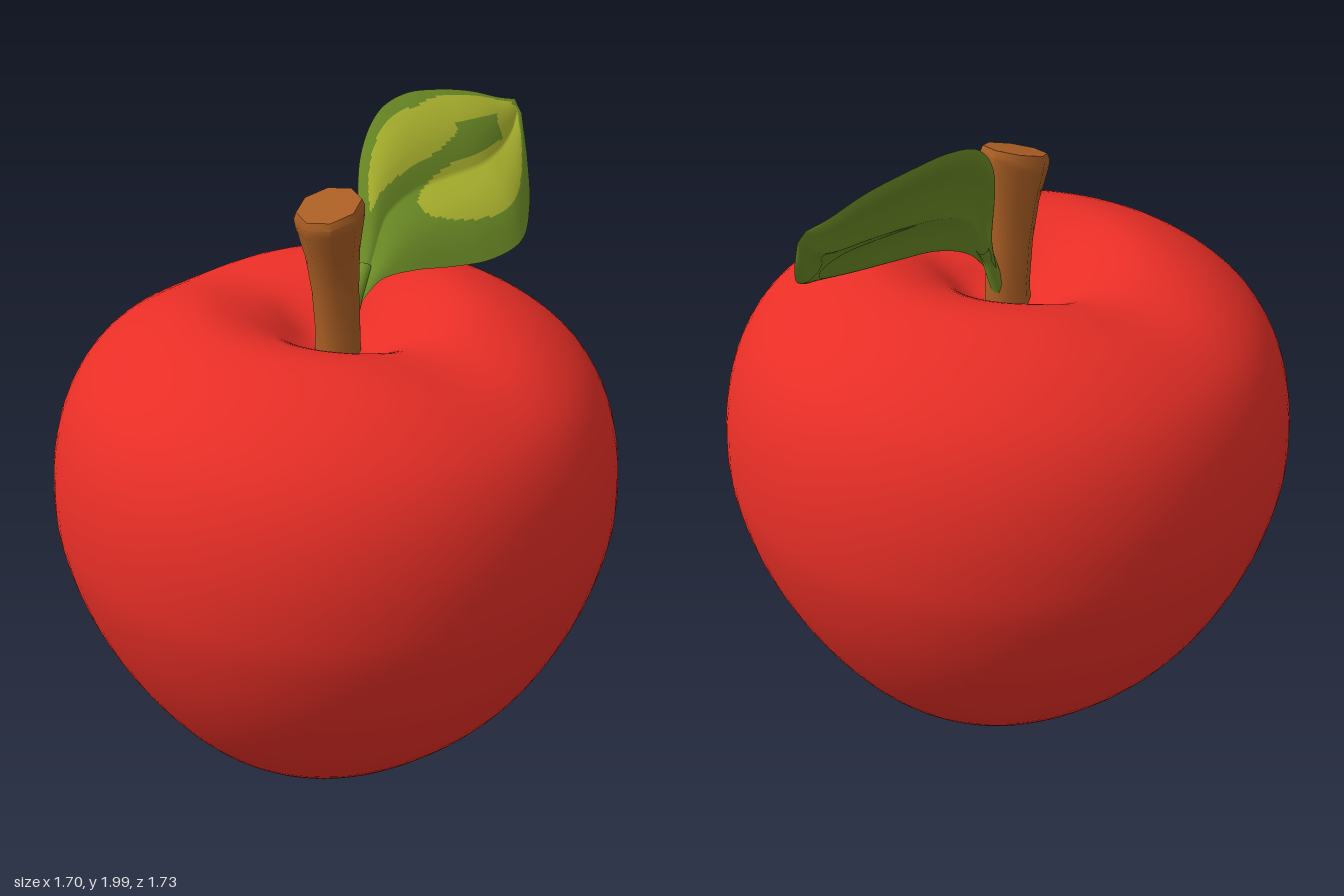
import * as THREE from 'three';
import { mergeVertices, toCreasedNormals } from 'three/addons/utils/BufferGeometryUtils.js';

const mat = (name, color) => {
  const m = new THREE.MeshStandardMaterial({ color });
  m.name = name;
  return m;
};

// Move every vertex of a geometry by a rule
function deform(geometry, rule) {
  const p = geometry.attributes.position;
  const v = new THREE.Vector3();
  for (let i = 0; i < p.count; i++) {
    rule(v.fromBufferAttribute(p, i));
    p.setXYZ(i, v.x, v.y, v.z);
  }
  return geometry;
}

function spline(points) {
  return new THREE.CatmullRomCurve3(points.map((p) => new THREE.Vector3(...p)));
}

const bell = (x, centre, width) => Math.exp(-(((x - centre) / width) ** 2));

// Turned fruit with a pit at both ends; a shallow groove runs sideways across each rim
function fruitGeometry() {
  const profile = [
    [0, 0.06], [0.08, 0.045], [0.16, 0.018], [0.25, 0.003], [0.36, 0.025], [0.475, 0.1], [0.595, 0.23],
    [0.715, 0.42], [0.805, 0.62], [0.855, 0.81], [0.864, 0.95], [0.848, 1.1], [0.802, 1.24], [0.72, 1.355],
    [0.58, 1.455], [0.42, 1.512], [0.3, 1.505], [0.2, 1.465], [0.1, 1.395], [0, 1.36],
  ].map(([x, y]) => new THREE.Vector2(x, y));
  const points = new THREE.SplineCurve(profile).getPoints(76);
  points[0].x = points[76].x = 0;
  let g = new THREE.LatheGeometry(points, 80);
  deform(g, (v) => {
    const r = Math.hypot(v.x, v.z);
    // the foot is a little narrower sideways
    v.x *= 0.985 - 0.07 * bell(v.y, 0.08, 0.17);
    if (v.y > 0.9) {
      v.y -= 0.052 * bell(v.z, 0, 0.2) * bell(r, 0.38, 0.26);
      v.y -= 0.03 * bell(v.z, -0.03, 0.08) * bell(r, 0.15, 0.12);
    } else v.y += 0.05 * bell(v.z, 0, 0.13) * bell(r, 0.29, 0.18);
  });
  g.deleteAttribute('uv');
  g.deleteAttribute('normal');
  g = mergeVertices(g, 1e-4);
  g.computeVertexNormals();
  return g;
}

// Eight-sided stem, flared, leaning forward, with a slanted cut
function stemGeometry() {
  const profile = [
    [0, 1.3], [0.07, 1.3], [0.066, 1.42], [0.068, 1.55], [0.078, 1.67], [0.098, 1.77],
    [0.1, 1.795], [0.092, 1.815], [0, 1.818],
  ].map(([x, y]) => new THREE.Vector2(x, y));
  const g = deform(new THREE.LatheGeometry(profile, 8), (v) => {
    const t = THREE.MathUtils.clamp((v.y - 1.45) / 0.36, 0, 1);
    v.y -= v.z * 0.28 * t;
    v.z += -0.005 + 0.037 * t;
  });
  g.deleteAttribute('uv');
  return toCreasedNormals(g, 0.9);
}

// Tilted leaf blade lofted between two edge curves; group 1 is the pale patches
function leafGeometry() {
  // z, upper edge x y, lower edge x y
  const stations = [
    [-0.08, -0.015, 1.49, 0.015, 1.48], [-0.14, -0.04, 1.62, 0.05, 1.55],
    [-0.22, -0.11, 1.86, 0.105, 1.57], [-0.33, -0.14, 1.965, 0.165, 1.565],
    [-0.45, -0.14, 1.995, 0.215, 1.565], [-0.58, -0.115, 1.985, 0.228, 1.59],
    [-0.7, -0.08, 1.96, 0.165, 1.65], [-0.8, -0.05, 1.925, 0.075, 1.755],
    [-0.86, -0.03, 1.91, 0, 1.87],
  ];
  const upper = spline(stations.map(([z, x, y]) => [x, y, z]));
  const lower = spline(stations.map(([z, , , x, y]) => [x, y, z]));
  const S = 96, V = 64, row = V + 1;
  const inward = new THREE.Vector3(-0.76, -0.65, 0);
  const positions = [], green = [], pale = [];

  for (const thickness of [0, 0.04]) {
    for (let i = 0; i <= S; i++) {
      const s = i / S, a = upper.getPoint(s), b = lower.getPoint(s);
      const swell = Math.sin(Math.PI * s);
      for (let j = 0; j <= V; j++) {
        const v = (j / V) * 2 - 1;
        // two raised lobes either side of the midrib
        const lobe = -0.024 * Math.sin(Math.PI * Math.abs(v)) * swell;
        const p = a.clone().lerp(b, j / V);
        p.addScaledVector(inward, lobe + thickness * (1 - v ** 8) * Math.sqrt(Math.max(swell, 0)));
        positions.push(p.x, p.y, p.z);
      }
    }
  }

  const inside = (s, v, cs, cv, rs, rv) => ((s - cs) / rs) ** 2 + ((v - cv) / rv) ** 2 < 1;
  const underside = (S + 1) * row;
  for (let i = 0; i < S; i++) {
    for (let j = 0; j < V; j++) {
      const s = (i + 0.5) / S, v = ((j + 0.5) / V) * 2 - 1;
      const patch = inside(s, v, 0.4, -0.55, 0.2, 0.3)
        || inside(s, v, 0.72, -0.72, 0.24, 0.2)
        || inside(s, v, 0.64, 0.23, 0.29, 0.37)
        || inside(s, v, 0.88, -0.2, 0.1, 0.55);
      const a = i * row + j, b = a + 1, c = a + row, d = c + 1;
      (patch ? pale : green).push(a, b, c, b, d, c);
      green.push(...[a, c, b, b, c, d].map((k) => k + underside));
    }
  }

  const g = new THREE.BufferGeometry();
  g.setAttribute('position', new THREE.Float32BufferAttribute(positions, 3));
  g.setIndex(green.concat(pale));
  g.addGroup(0, green.length, 0);
  g.addGroup(green.length, pale.length, 1);
  g.computeVertexNormals();
  return g;
}

export function createModel() {
  const red = mat('fruit red', 0xe72e26);
  const brown = mat('stem brown', 0xaa5e24);
  const leafGreen = mat('leaf green', 0x6f8f27);
  const leafPale = mat('leaf yellow green', 0xb2ba30);
  const model = new THREE.Group();
  model.name = 'apple';
  const add = (parent, name, geometry, material) => {
    const mesh = new THREE.Mesh(geometry, material);
    mesh.name = name;
    parent.add(mesh);
  };

  add(model, 'fruit', fruitGeometry(), red);
  add(model, 'stem', stemGeometry(), brown);

  const leaf = new THREE.Group();
  leaf.name = 'leaf';
  add(leaf, 'leafBlade', leafGeometry(), [leafGreen, leafPale]);
  // Leaf stalk running into the pit beside the stem
  const stalk = spline([[0, 1.36, -0.03], [0, 1.47, -0.075], [0, 1.53, -0.1], [-0.01, 1.58, -0.14]]);
  add(leaf, 'leafStalk', new THREE.TubeGeometry(stalk, 12, 0.02, 8), leafGreen);
  model.add(leaf);
  return model;
}
